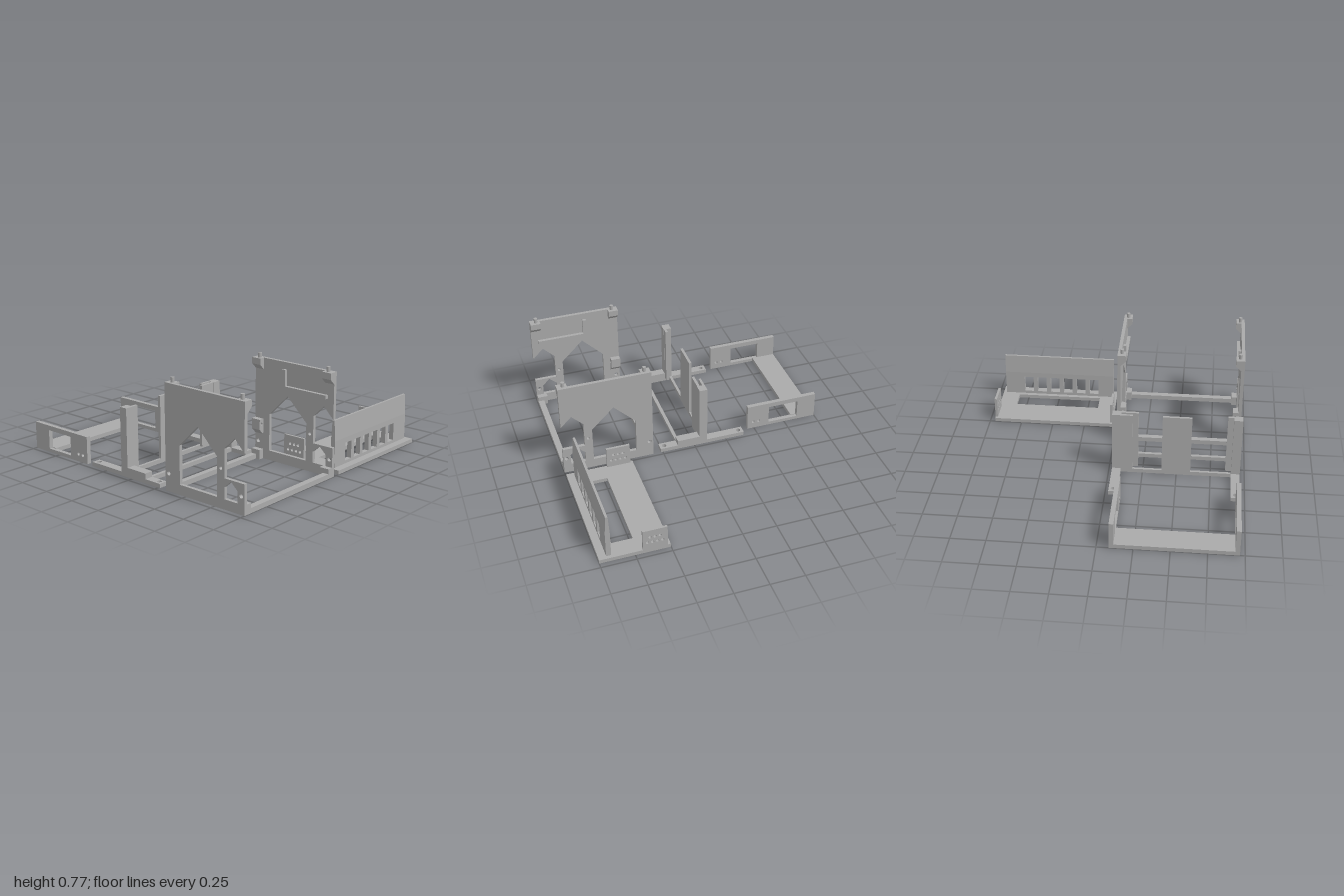
import * as THREE from 'three';

const gray = new THREE.MeshStandardMaterial({ color: 0xaaaaaa });
gray.name = 'plain gray';

const add = (parent, name, geo) => {
  const m = new THREE.Mesh(geo, gray);
  m.name = name;
  parent.add(m);
  return m;
};

// box given by its limits
const box = (parent, name, x0, x1, y0, y1, z0, z1) =>
  add(parent, name, new THREE.BoxGeometry(x1 - x0, y1 - y0, z1 - z0)
    .translate((x0 + x1) / 2, (y0 + y1) / 2, (z0 + z1) / 2));

const poly = (pts) => new THREE.Shape(pts.map(([a, b]) => new THREE.Vector2(a, b)));
const rect = (a0, a1, b0, b1) => poly([[a0, b0], [a1, b0], [a1, b1], [a0, b1]]);
const circle = (a, b, r) => new THREE.Path().absarc(a, b, r, 0, Math.PI * 2, true);
const withHoles = (shape, holes) => { shape.holes.push(...holes); return shape; };
const extrude = (shape, depth) =>
  new THREE.ExtrudeGeometry(shape, { depth, bevelEnabled: false, curveSegments: 10 });

// (z, y) outline made thick from x0 to x1
const sidePlate = (parent, name, shape, x0, x1) =>
  add(parent, name, extrude(shape, x1 - x0).rotateY(-Math.PI / 2).translate(x1, 0, 0));
// (x, y) outline made thick from z0 to z1
const frontPlate = (parent, name, shape, z0, z1) =>
  add(parent, name, extrude(shape, z1 - z0).translate(0, 0, z0));
// (x, z) outline made thick from y0 to y1
const flatPlate = (parent, name, shape, y0, y1) =>
  add(parent, name, extrude(shape, y1 - y0).rotateX(Math.PI / 2).translate(0, y1, 0));

const group = (root, name) => {
  const g = new THREE.Group();
  g.name = name;
  root.add(g);
  return g;
};

const CX = -0.495; // shared centre of the three parts on the left-hand column

// tall frame with two cut-out walls
function wallFrame(root) {
  const g = group(root, 'wallFrame');
  box(g, 'frontRail', -0.965, -0.025, 0, 0.035, 0.955, 1);
  box(g, 'backRail', -0.965, -0.025, 0, 0.035, 0.322, 0.362);

  for (const s of [-1, 1]) {
    const X = (d) => CX + s * d;
    const span = (a, b) => [Math.min(X(a), X(b)), Math.max(X(a), X(b))];

    const wall = withHoles(
      poly([[0.322, 0], [1, 0], [1, 0.21], [0.835, 0.21], [0.835, 0.405], [0.92, 0.49],
        [1, 0.41], [1, 0.74], [0.322, 0.74]]),
      [
        poly([[0.45, 0.07], [0.775, 0.07], [0.775, 0.34], [0.61, 0.5], [0.45, 0.34]]),
        poly([[0.835, 0.07], [0.945, 0.07], [0.945, 0.15], [0.89, 0.2], [0.835, 0.15]]),
        circle(0.975, 0.125, 0.015), circle(0.35, 0.125, 0.015), circle(0.805, 0.27, 0.012),
      ]);
    sidePlate(g, 'wall', wall, ...span(0.445, 0.47));

    // corner blocks and locating pegs
    for (const [z0, z1, pz] of [[0.322, 0.395, 0.365], [0.925, 1, 0.955]]) {
      box(g, 'footBlock', ...span(0.405, 0.446), 0, 0.07, z0, z1);
      frontPlate(g, 'topBlock', poly([[X(0.446), 0.74], [X(0.405), 0.74],
        [X(0.405), 0.695], [X(0.446), 0.655]]), z0, z1);
      add(g, 'peg', new THREE.CylinderGeometry(0.013, 0.013, 0.045, 16)
        .translate(X(0.437), 0.7525, pz));
    }

    // screw bracket at the back edge
    frontPlate(g, 'bracket', withHoles(
      poly([[X(0.446), 0.295], [X(0.405), 0.295], [X(0.405), 0.22], [X(0.446), 0.18]]),
      [circle(X(0.425), 0.26, 0.01)]), 0.322, 0.395);

    // guide rail and stop rib on the inner face
    box(g, 'guideRail', ...span(0.42, 0.446), 0.55, 0.575, 0.6, 0.95);
    box(g, 'stopRib', ...span(0.425, 0.446), 0.55, 0.69, 0.57, 0.6);
  }
}

// low tray with two windowed sides
function windowTray(root) {
  const g = group(root, 'windowTray');
  box(g, 'trayBase', -0.94, -0.11, 0, 0.03, -1, -0.815);
  for (const x of [-0.965, -0.117]) {
    sidePlate(g, 'traySide', withHoles(rect(-1, -0.447, 0, 0.2), [
      rect(-0.855, -0.62, 0.025, 0.165),
      circle(-0.495, 0.055, 0.012), circle(-0.54, 0.055, 0.012),
    ]), x, x + 0.032);
  }
}

// flat frame carrying three upright columns
function columnFrame(root) {
  const g = group(root, 'columnFrame');
  for (const x of [-0.965, -0.09]) {
    flatPlate(g, 'footStrip', withHoles(rect(x, x + 0.065, -0.395, 0.265), [
      circle(x + 0.0325, -0.36, 0.017), circle(x + 0.0325, 0.23, 0.017),
    ]), 0, 0.03);
    box(g, 'stepBlock', x, x + 0.065, 0.029, 0.07, -0.045, 0.13);
    box(g, 'sideColumn', x, x + 0.065, 0.029, 0.49, -0.1, -0.04);
  }
  box(g, 'frontBar', -0.905, -0.085, 0, 0.03, 0.105, 0.13);
  box(g, 'rearBar', -0.905, -0.085, 0, 0.03, -0.1, -0.08);
  box(g, 'leftWing', -0.905, -0.857, 0.03, 0.49, -0.062, -0.042);
  box(g, 'rightWing', -0.215, -0.085, 0.03, 0.49, -0.062, -0.042);
  box(g, 'rightRearWing', -0.175, -0.085, 0.03, 0.49, -0.1, -0.082);
  box(g, 'middleColumn', -0.602, -0.39, 0.02, 0.49, -0.1, -0.08);
}

// base plate with a windowed front panel and perforated tabs
function panelBase(root) {
  const g = group(root, 'panelBase');
  flatPlate(g, 'basePlate', withHoles(rect(0.03, 0.96, 0.502, 1),
    [rect(0.165, 0.825, 0.73, 0.88)]), 0, 0.028);

  const windows = [];
  for (let i = 0; i < 6; i++) {
    const x = 0.178 + i * 0.1065;
    windows.push(rect(x, x + 0.073, 0.05, 0.18));
  }
  frontPlate(g, 'lowerPanel', withHoles(rect(0.055, 0.935, 0.02, 0.22), windows), 0.91, 0.945);
  sidePlate(g, 'upperPanel',
    poly([[0.91, 0.22], [0.945, 0.22], [0.936, 0.367], [0.919, 0.367]]), 0.055, 0.935);

  const vents = [
    ...[0.575, 0.61, 0.645].map((z) => circle(z, 0.13, 0.011)),
    ...[0.558, 0.593, 0.628, 0.663].map((z) => circle(z, 0.085, 0.011)),
  ];
  for (const x of [0.03, 0.942])
    sidePlate(g, 'ventTab', withHoles(rect(0.522, 0.697, 0.02, 0.19), vents), x, x + 0.018);
}

export function createModel() {
  const root = new THREE.Group();
  root.name = 'kitOfParts';
  wallFrame(root);
  windowTray(root);
  columnFrame(root);
  panelBase(root);
  return root;
}
